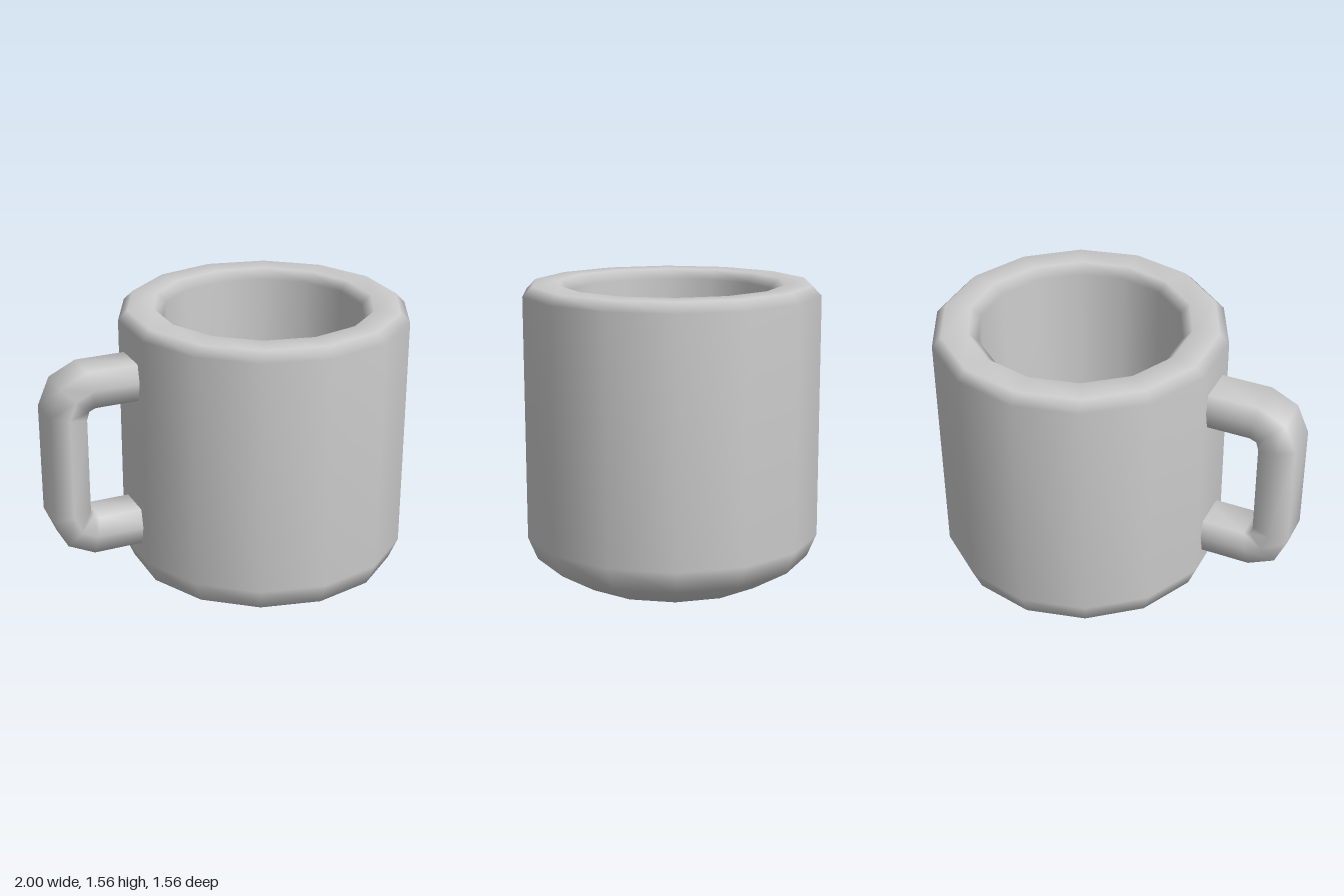
import * as THREE from 'three';

const material = new THREE.MeshStandardMaterial({ color: 0xcccccc });

// Skin six-sided smooth rings, each given by its outer and inner edge [xo, yo, xi, yi]
function handleGeometry(rings) {
  const positions = [], index = [];
  const corner = 0.1, middle = 0.123;
  for (const [xo, yo, xi, yi] of rings) {
    const xm = (xo + xi) / 2, ym = (yo + yi) / 2;
    positions.push(
      xo, yo, -corner, xo, yo, corner, xm, ym, middle,
      xi, yi, corner, xi, yi, -corner, xm, ym, -middle);
  }
  for (let i = 0; i < rings.length - 1; i++) {
    for (let j = 0; j < 6; j++) {
      const a = i * 6 + j, b = i * 6 + (j + 1) % 6;
      index.push(a, a + 6, b, b, a + 6, b + 6);
    }
  }
  const geometry = new THREE.BufferGeometry();
  geometry.setAttribute('position', new THREE.Float32BufferAttribute(positions, 3));
  geometry.setIndex(index);
  geometry.computeVertexNormals();
  return geometry;
}

export function createModel() {
  const group = new THREE.Group();
  group.name = 'mug';

  // Cup: outside wall, rounded rim and hollow inside in one 14-sided profile
  const profile = [
    [0, 0], [0.53, 0], [0.73, 0.12], [0.78, 0.24], [0.78, 1.51], [0.73, 1.56],
    [0.59, 1.56], [0.54, 1.51], [0.54, 0.34], [0.5, 0.24], [0.36, 0.17], [0, 0.17],
  ].map(([r, y]) => new THREE.Vector2(r, y));
  const cup = new THREE.Mesh(new THREE.LatheGeometry(profile, 14), material);
  cup.name = 'cup';
  cup.position.x = 0.24;
  group.add(cup);

  // Handle: upper half mirrored about its mid height, ends buried in the wall
  const upper = [
    [-0.42, 1.36, -0.42, 1.16],
    [-0.79, 1.36, -0.755, 1.16],
    [-0.935, 1.29, -0.79, 1.145],
    [-1, 1.14, -0.803, 1.1],
  ];
  const lower = upper.map(([xo, yo, xi, yi]) => [xo, 1.69 - yo, xi, 1.69 - yi]).reverse();
  const handle = new THREE.Mesh(handleGeometry([...upper, ...lower]), material);
  handle.name = 'handle';
  group.add(handle);

  return group;
}
